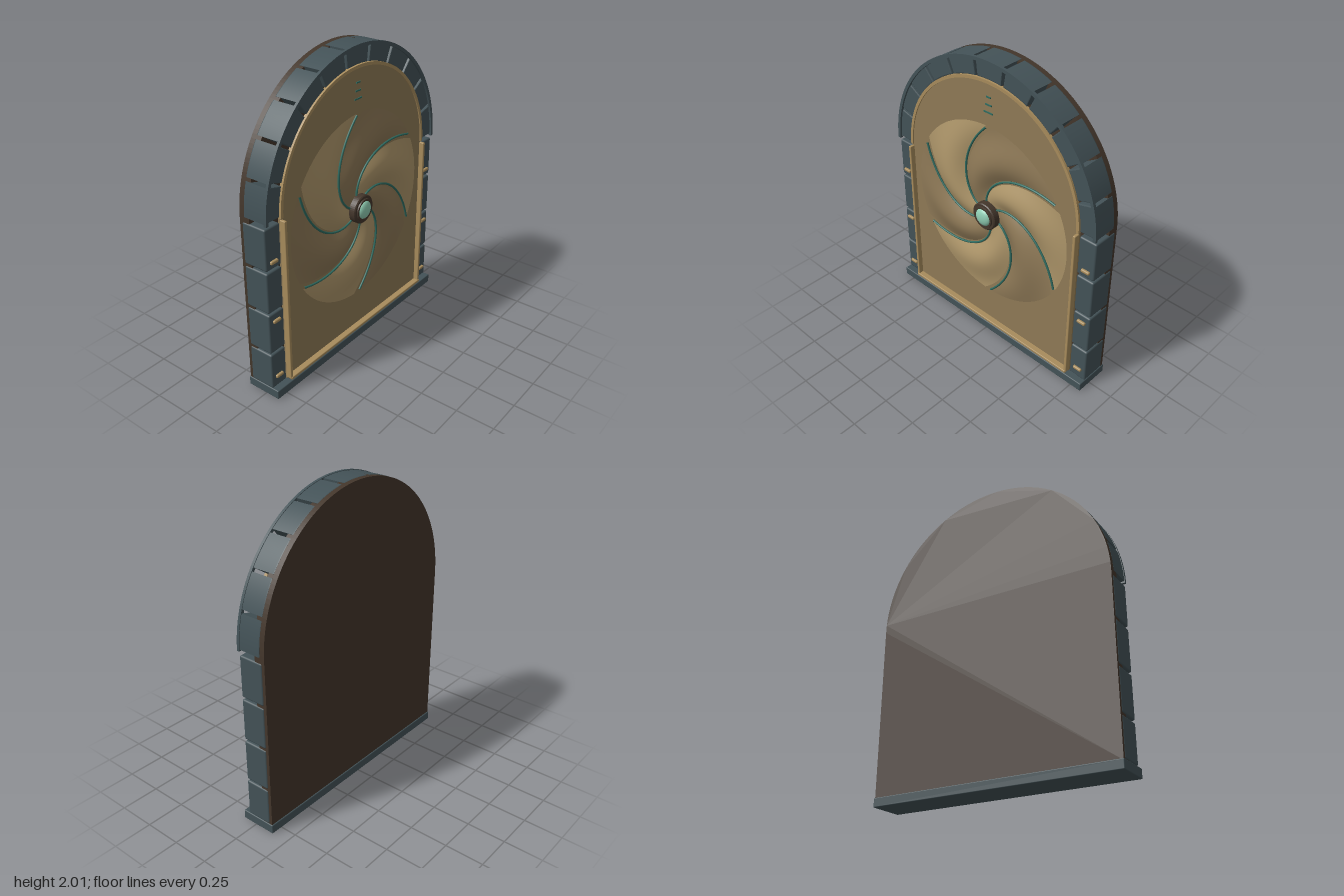
import * as THREE from 'three';
import { RoundedBoxGeometry } from 'three/addons/geometries/RoundedBoxGeometry.js';

const SPRING = 1.18; // height where the arch begins
const HUB_Y = 0.96;

const mat = (color) => new THREE.MeshStandardMaterial({ color, roughness: 0.8 });
const slate = mat(0x435257), brown = mat(0x43362b), bronze = mat(0x8f7a56);
const blades = [mat(0xae966a), mat(0x8d7856)];
const brass = mat(0xa88c5c), teal = mat(0x2f6b60), jade = mat(0x8fccb2);
blades.forEach((m) => { m.side = THREE.DoubleSide; });

export function createModel() {
  const model = new THREE.Group();

  const add = (name, geometry, material, x = 0, y = 0, z = 0, parent = model) => {
    const mesh = new THREE.Mesh(geometry, material);
    mesh.name = name;
    mesh.position.set(x, y, z);
    parent.add(mesh);
    return mesh;
  };
  const group = (name, y = 0) => {
    const g = new THREE.Group();
    g.name = name;
    g.position.y = y;
    model.add(g);
    return g;
  };
  const extrude = (shape, depth, bevel = 0) => new THREE.ExtrudeGeometry(shape, {
    depth, curveSegments: 48, bevelEnabled: bevel > 0,
    bevelSize: bevel, bevelThickness: bevel, bevelSegments: 2,
  });

  // Round-headed slab outline
  const archShape = (r, bottom) => {
    const s = new THREE.Shape();
    s.moveTo(-r, bottom);
    s.lineTo(r, bottom);
    s.lineTo(r, SPRING);
    s.absarc(0, SPRING, r, 0, Math.PI, false);
    s.closePath();
    return s;
  };
  // Part of a ring between two radii and two angles
  const sector = (r0, r1, a0, a1) => {
    const s = new THREE.Shape();
    s.absarc(0, 0, r1, a0, a1, false);
    s.absarc(0, 0, r0, a1, a0, true);
    s.closePath();
    return s;
  };

  // Backing, door panel and sill
  add('backSlab', extrude(archShape(0.824, 0.05), 0.072), brown, 0, 0, -0.133);
  add('doorPanel', extrude(archShape(0.7, 0.06), 0.02), bronze, 0, 0, 0.04);
  add('sill', new RoundedBoxGeometry(1.66, 0.06, 0.24, 2, 0.006), slate, 0, 0.03, -0.02);

  // Arch stones, separated by narrow open joints
  const arch = group('archStones', SPRING);
  const step = Math.PI / 11, bevel = 0.006;
  for (let i = 0; i < 11; i++) {
    const stone = sector(0.706 + bevel, 0.826 - bevel, i * step + 0.021, (i + 1) * step - 0.021);
    add('archStone', extrude(stone, 0.146, bevel), slate, 0, 0, -0.094, arch);
  }
  add('archOuterRim', extrude(sector(0.808, 0.829, 0, Math.PI), 0.018), slate, 0, 0, 0.053, arch);
  add('archInnerTrim', extrude(sector(0.686, 0.706, 0, Math.PI), 0.022), brass, 0, 0, 0.046, arch);

  // Jamb stones, bolts and door trim on both sides
  for (const side of [-1, 1]) {
    for (let i = 0; i < 4; i++) {
      const low = i === 0 ? 0.06 : 0.032 + i * 0.285;
      const high = 0.305 + i * 0.284;
      add('jambStone', new RoundedBoxGeometry(0.124, high - low, 0.172, 3, 0.012), slate,
        side * 0.767, (low + high) / 2, -0.029);
    }
    for (const y of [0.135, 0.535, 0.935]) {
      add('jambBolt', new RoundedBoxGeometry(0.06, 0.022, 0.025, 2, 0.008), brass, side * 0.77, y, 0.06);
    }
    add('sideTrim', new RoundedBoxGeometry(0.02, 1.1, 0.04, 2, 0.005), brass, side * 0.694, 0.62, 0.074);
  }
  add('bottomTrim', new RoundedBoxGeometry(1.4, 0.02, 0.045, 2, 0.005), brass, 0, 0.074, 0.077);

  // Three slots above the iris
  [0.07, 0.05, 0.035].forEach((w, i) => {
    add('slot', new THREE.BoxGeometry(w, 0.009, 0.008), teal, 0, 1.68 + i * 0.05, 0.061);
  });

  // Iris: each seam sweeps round as it nears the rim
  const iris = group('iris', HUB_Y);
  const R0 = 0.08, R1 = 0.63;
  const seamAngle = (r) => {
    const t = (r - R0) / (R1 - R0);
    return THREE.MathUtils.degToRad(106 - 97 * t + 22 * t * t);
  };
  const bladeGeometry = () => {
    const rows = 28, cols = 24, pos = [], index = [];
    for (let i = 0; i <= rows; i++) {
      const t = i / rows, r = R0 + (R1 - R0) * t;
      const a0 = seamAngle(r) + 0.008 / r, a1 = seamAngle(r) + Math.PI / 3 - 0.075;
      for (let j = 0; j <= cols; j++) {
        const s = j / cols, a = a0 + (a1 - a0) * s;
        const lift = 0.038 * Math.sin(Math.PI * t) * Math.sin(Math.PI * s);
        pos.push(r * Math.cos(a), r * Math.sin(a), 0.064 + lift);
        if (i < rows && j < cols) {
          const k = i * (cols + 1) + j, n = k + cols + 1;
          index.push(k, n, n + 1, k, n + 1, k + 1);
        }
      }
    }
    const g = new THREE.BufferGeometry();
    g.setAttribute('position', new THREE.Float32BufferAttribute(pos, 3));
    g.setIndex(index);
    g.computeVertexNormals();
    return g;
  };
  const seamPoints = Array.from({ length: 13 }, (_, i) => {
    const r = R0 + (0.62 - R0) * i / 12, a = seamAngle(r) - 0.004 / r;
    return new THREE.Vector3(r * Math.cos(a), r * Math.sin(a), 0.066);
  });
  const blade = bladeGeometry();
  const seam = new THREE.TubeGeometry(new THREE.CatmullRomCurve3(seamPoints), 48, 0.007, 8);
  for (let i = 0; i < 6; i++) {
    const turn = i * Math.PI / 3;
    add('irisBlade', blade, blades[(i + 1) % 2], 0, 0, 0, iris).rotation.z = turn;
    add('irisSeam', seam, teal, 0, 0, 0, iris).rotation.z = turn;
  }

  // Hub: stepped collar with a domed gem
  const collar = new THREE.LatheGeometry([
    [0.094, 0.06], [0.094, 0.106], [0.088, 0.112], [0.074, 0.112],
    [0.072, 0.121], [0.06, 0.121], [0.056, 0.112], [0, 0.112],
  ].map(([r, h]) => new THREE.Vector2(r, h)), 48);
  const hub = add('hubCollar', collar, brown, 0, 0, 0, iris);
  hub.rotation.x = Math.PI / 2;
  hub.material = brown.clone();
  hub.material.side = THREE.DoubleSide;
  hub.material.flatShading = true;
  const gem = add('hubGem', new THREE.SphereGeometry(0.06, 32, 20), jade, 0, 0, 0.112, iris);
  gem.scale.z = 0.48;

  return model;
}
